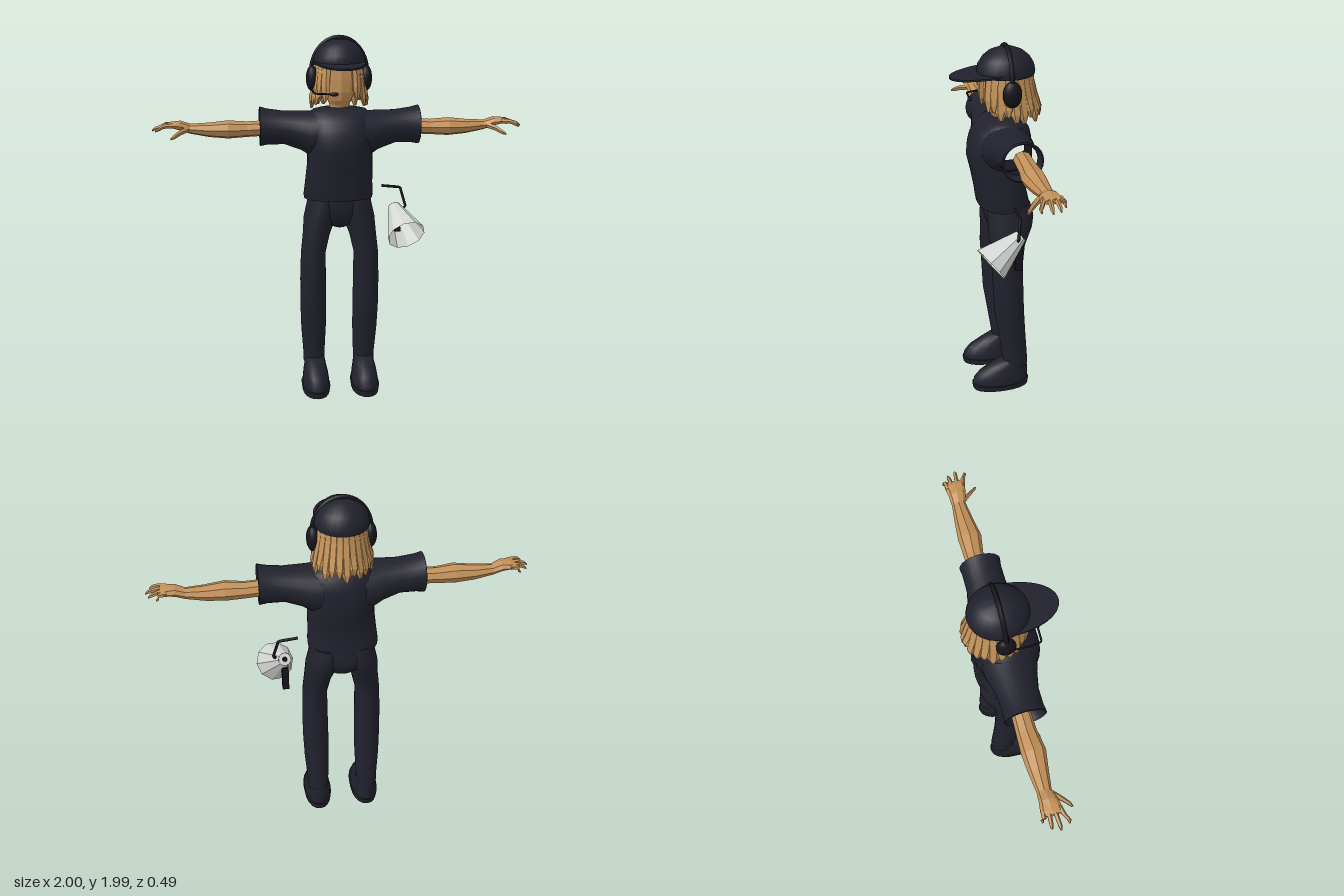
import * as THREE from 'three';
import { toCreasedNormals } from 'three/addons/utils/BufferGeometryUtils.js';

// Surface through elliptical rings. Rows are [y, cx, cz, rx, rz] or, along x, [x, cy, cz, ry, rz].
function loft(rows, { sides = 20, along = 'y', side = 1, caps = true, power = 1, skip } = {}) {
  const ringRows = caps
    ? [[...rows[0].slice(0, 3), 0, 0], ...rows, [...rows.at(-1).slice(0, 3), 0, 0]]
    : rows;
  const bend = (v) => Math.sign(v) * Math.abs(v) ** power;
  const pts = [], index = [];
  for (const [t, c1, c2, r1, r2] of ringRows) {
    for (let j = 0; j < sides; j++) {
      const a = (j / sides) * Math.PI * 2, c = bend(Math.cos(a)), s = bend(Math.sin(a));
      if (along === 'y') pts.push(new THREE.Vector3(side * (c1 + r1 * c), t, c2 + r2 * s));
      else pts.push(new THREE.Vector3(side * t, c1 + r1 * s, c2 + r2 * c));
    }
  }
  const tri = (a, b, c) => {
    const mid = pts[a].clone().add(pts[b]).add(pts[c]).divideScalar(3);
    if (skip && skip(mid)) return;
    index.push(...(side > 0 ? [a, b, c] : [a, c, b]));
  };
  for (let i = 0; i < ringRows.length - 1; i++) {
    for (let j = 0; j < sides; j++) {
      const k = (j + 1) % sides, a = i * sides + j, b = i * sides + k;
      tri(a, a + sides, b);
      tri(b, a + sides, b + sides);
    }
  }
  const geo = new THREE.BufferGeometry().setFromPoints(pts);
  geo.setIndex(index);
  return toCreasedNormals(geo, 0.9);
}

export function createModel() {
  const model = new THREE.Group();
  const mat = (name, color, opts = {}) => {
    const m = new THREE.MeshStandardMaterial({ color, ...opts });
    m.name = name;
    return m;
  };
  const cloth = mat('dark cloth', 0x21212d);
  const black = mat('black plastic', 0x14141b);
  const skin = mat('skin', 0xc29058, { flatShading: true });
  const hair = mat('hair', 0xc4935a, { flatShading: true });
  const shell = mat('pale grey shell', 0xd3d7d3, { flatShading: true, side: THREE.DoubleSide });

  const add = (name, geo, material, parent = model) => {
    const mesh = new THREE.Mesh(geo, material);
    mesh.name = name;
    parent.add(mesh);
    return mesh;
  };
  const group = (name) => {
    const g = new THREE.Group();
    g.name = name;
    model.add(g);
    return g;
  };
  // Straight thin bars joining a list of points
  const rods = (name, points, radius, parent) => {
    const path = new THREE.CurvePath();
    const v = points.map((p) => new THREE.Vector3(...p));
    for (let i = 1; i < v.length; i++) path.add(new THREE.LineCurve3(v[i - 1], v[i]));
    add(name, new THREE.TubeGeometry(path, 24, radius, 6), black, parent);
  };

  // Shirt body, opened at the shoulders so the sleeves are hollow
  add('shirtBody', loft([
    [1.11, -0.008, -0.037, 0.188, 0.138], [1.13, -0.008, -0.035, 0.19, 0.14],
    [1.2, -0.006, -0.022, 0.184, 0.137], [1.3, 0, -0.02, 0.178, 0.155],
    [1.38, 0, -0.018, 0.176, 0.172], [1.42, 0, -0.018, 0.178, 0.171],
    [1.46, 0, -0.02, 0.18, 0.167], [1.5, 0, -0.023, 0.18, 0.159],
    [1.54, 0, -0.03, 0.178, 0.142], [1.575, 0, -0.035, 0.165, 0.11],
    [1.595, 0, -0.04, 0.14, 0.08], [1.605, 0, -0.04, 0.09, 0.06],
  ], {
    sides: 36, power: 0.85,
    skip: (p) => Math.abs(p.x) > 0.1 && Math.hypot(p.y - 1.495, p.z + 0.037) < 0.08,
  }), cloth);

  // Pelvis
  add('pelvis', loft([
    [0.945, 0, -0.05, 0.04, 0.06], [0.97, 0, -0.055, 0.09, 0.09], [1.01, 0, -0.06, 0.16, 0.118],
    [1.06, 0, -0.06, 0.182, 0.13], [1.14, 0, -0.05, 0.17, 0.12],
  ], { sides: 24 }), cloth);

  for (const [label, side] of [['left', 1], ['right', -1]]) {
    // Sleeve with a turned-in cuff
    add(label + 'Sleeve', loft([
      [0.11, 1.465, -0.03, 0.125, 0.14], [0.165, 1.465, -0.032, 0.12, 0.135],
      [0.21, 1.48, -0.034, 0.106, 0.122], [0.3, 1.497, -0.035, 0.09, 0.104],
      [0.39, 1.503, -0.035, 0.097, 0.103], [0.43, 1.505, -0.035, 0.106, 0.108],
      [0.433, 1.505, -0.035, 0.1, 0.102], [0.42, 1.505, -0.035, 0.088, 0.09],
      [0.38, 1.5, -0.035, 0.082, 0.088],
    ], { along: 'x', sides: 24, side, caps: false }), cloth);

    // Arm and palm
    const arm = group(label + 'Arm');
    const limb = { along: 'x', sides: 8, side };
    add('forearm', loft([
      [0.36, 1.495, -0.05, 0.042, 0.047], [0.5, 1.488, -0.05, 0.042, 0.052],
      [0.6, 1.489, -0.044, 0.049, 0.062], [0.7, 1.488, -0.048, 0.039, 0.05],
      [0.8, 1.495, -0.05, 0.027, 0.037], [0.85, 1.513, -0.045, 0.027, 0.046],
      [0.9, 1.518, -0.045, 0.018, 0.054], [0.925, 1.515, -0.042, 0.012, 0.05],
    ], limb), skin, arm);
    // Fingers: [root z, tip z, tip x]
    [[-0.084, -0.098, 0.945], [-0.06, -0.064, 0.985], [-0.032, -0.024, 1.0], [-0.005, 0.024, 0.98]]
      .forEach(([z0, z1, x1]) => add('finger', loft([
        [0.89, 1.517, z0, 0.014, 0.014], [0.935, 1.517, z0 * 0.6 + z1 * 0.4, 0.012, 0.012],
        [x1 - 0.015, 1.503, z1, 0.01, 0.01], [x1, 1.493, z1, 0.005, 0.005],
      ], { ...limb, sides: 5 }), skin, arm));
    add('thumb', loft([
      [0.81, 1.497, -0.025, 0.016, 0.018], [0.85, 1.485, 0.015, 0.016, 0.018],
      [0.88, 1.467, 0.048, 0.013, 0.013], [0.9, 1.457, 0.062, 0.006, 0.006],
    ], { ...limb, sides: 5 }), skin, arm);

    // Trouser leg
    add(label + 'Leg', loft([
      [0.14, 0.143, -0.082, 0.06, 0.07], [0.18, 0.143, -0.08, 0.06, 0.071],
      [0.35, 0.146, -0.06, 0.07, 0.077], [0.5, 0.148, -0.043, 0.073, 0.084],
      [0.65, 0.149, -0.036, 0.072, 0.085], [0.8, 0.147, -0.03, 0.069, 0.088],
      [0.9, 0.13, -0.036, 0.075, 0.096], [1.0, 0.107, -0.055, 0.09, 0.121],
      [1.06, 0.093, -0.06, 0.09, 0.127], [1.13, 0.085, -0.055, 0.085, 0.115],
    ], { side }), cloth);

    // Shoe and sole
    const shoe = group(label + 'Shoe');
    add('upper', loft([
      [0.025, 0.14, 0.005, 0.075, 0.158], [0.06, 0.14, 0.003, 0.075, 0.16],
      [0.1, 0.14, -0.012, 0.069, 0.143], [0.14, 0.14, -0.042, 0.06, 0.108],
      [0.175, 0.14, -0.072, 0.053, 0.07],
    ], { side }), cloth, shoe);
    add('sole', loft([[0, 0.14, 0.005, 0.076, 0.16], [0.034, 0.14, 0.005, 0.081, 0.166]],
      { side, power: 0.9 }), cloth, shoe);
  }

  // Head and neck
  add('head', loft([
    [1.57, 0, -0.05, 0.055, 0.055], [1.62, 0, -0.04, 0.055, 0.07], [1.645, 0, -0.03, 0.065, 0.082],
    [1.69, 0, -0.04, 0.09, 0.105], [1.76, 0, -0.045, 0.105, 0.113], [1.86, 0, -0.05, 0.105, 0.115],
  ], { sides: 12 }), skin);

  // Hair: overlapping pointed locks, round the sides and back
  const hairGroup = group('hair');
  const locks = 21;
  for (let i = 0; i < locks; i++) {
    const angle = THREE.MathUtils.degToRad(44 + (272 * i) / (locks - 1));
    const front = Math.max(0, Math.cos(angle) + 0.2);
    const tip = 1.608 + front * 0.05 + 0.018 * Math.sin(i * 2.4);
    const out = 0.163 - front * 0.035;
    const geo = loft([
      [tip, 0, out, 0.009, 0.006], [tip + 0.04, 0, out - 0.006, 0.027, 0.016],
      [1.72, 0, 0.133 - front * 0.01, 0.031, 0.021], [1.79, 0, 0.12, 0.03, 0.018], [1.86, 0, 0.112, 0.028, 0.016],
    ], { sides: 6 });
    geo.rotateY(angle).scale(0.96, 1, 1.12).translate(0, 0, -0.05);
    add('lock', geo, hair, hairGroup);
  }

  // Cap with brim
  const cap = group('cap');
  add('crown', loft([
    [1.828, 0, -0.053, 0.138, 0.15], [1.845, 0, -0.053, 0.141, 0.153], [1.88, 0, -0.053, 0.135, 0.146],
    [1.915, 0, -0.053, 0.116, 0.125], [1.945, 0, -0.053, 0.083, 0.09], [1.965, 0, -0.053, 0.035, 0.04],
  ], { sides: 24 }), cloth, cap);
  const brim = new THREE.Shape();
  brim.moveTo(-0.135, -0.03);
  brim.bezierCurveTo(-0.14, 0.09, -0.09, 0.245, 0, 0.245);
  brim.bezierCurveTo(0.09, 0.245, 0.14, 0.09, 0.135, -0.03);
  const brimGeo = new THREE.ExtrudeGeometry(brim, { depth: 0.01, bevelEnabled: false, curveSegments: 8 });
  brimGeo.rotateX(Math.PI / 2 + 0.09).translate(0, 1.849, 0);
  add('brim', brimGeo, cloth, cap);

  // Headset: band, ear cups and microphone boom
  const headset = group('headset');
  const band = add('headband', new THREE.TorusGeometry(0.152, 0.011, 8, 28, Math.PI), black, headset);
  band.scale.set(1, 1.23, 1.1);
  band.position.set(0, 1.785, -0.053);
  for (const s of [1, -1]) {
    const cup = add('earCup', new THREE.SphereGeometry(1, 16, 12), black, headset);
    cup.scale.set(0.034, 0.07, 0.05);
    cup.position.set(s * 0.145, 1.757, -0.053);
  }
  rods('microphoneBoom', [[-0.15, 1.71, -0.05], [-0.15, 1.695, 0.07], [-0.14, 1.692, 0.125], [-0.04, 1.688, 0.128]], 0.005, headset);
  const tip = add('microphone', new THREE.SphereGeometry(1, 10, 8), black, headset);
  tip.scale.set(0.024, 0.011, 0.012);
  tip.position.set(-0.045, 1.688, 0.128);

  // Loudhailer hanging beside the hip
  const horn = group('loudhailer');
  const small = new THREE.Vector3(0.31, 1.04, -0.062), big = new THREE.Vector3(0.352, 0.915, 0.108);
  const axis = big.clone().sub(small), length = axis.length();
  const cone = add('horn', new THREE.CylinderGeometry(0.106, 0.035, length, 10, 1, true), shell, horn);
  cone.position.copy(small).add(big).multiplyScalar(0.5);
  cone.quaternion.setFromUnitVectors(new THREE.Vector3(0, 1, 0), axis.normalize());
  const ring = new THREE.RingGeometry(0.014, 0.035, 10);
  ring.rotateX(Math.PI / 2).translate(0, -length / 2, 0);
  add('mouthRing', ring, shell, cone);
  add('handle', new THREE.BoxGeometry(0.036, 0.14, 0.042).translate(0.31, 0.915, -0.05), black, horn);
  add('innerDriver', new THREE.BoxGeometry(0.035, 0.022, 0.03).translate(0.305, 0.945, 0.08), black, horn);
  rods('hangingBar', [[0.235, 1.163, -0.05], [0.34, 1.152, -0.05], [0.37, 1.045, -0.035], [0.335, 1.025, -0.035]], 0.008, horn);

  return model;
}
